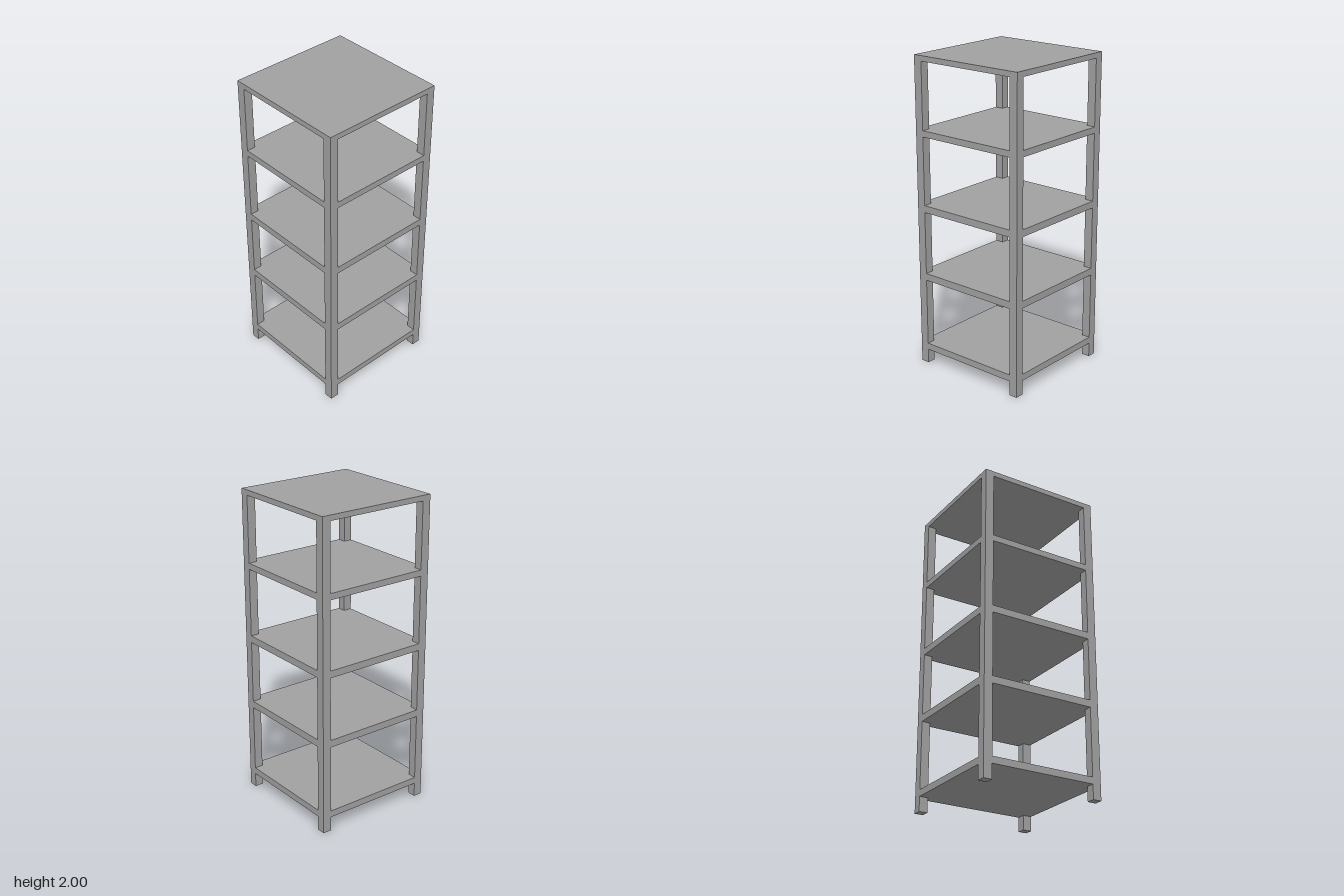
import * as THREE from 'three';

const HALF = 0.397;   // half width and depth
const LEG = 0.056;    // post thickness
const HEIGHT = 2;
const TOP = 0.034;    // top board thickness

export function createModel() {
  const group = new THREE.Group();
  const material = new THREE.MeshStandardMaterial({ color: 0xa0a0a0 });
  const add = (name, geometry, x, y, z) => {
    const mesh = new THREE.Mesh(geometry, material);
    mesh.name = name;
    mesh.position.set(x, y, z);
    group.add(mesh);
  };

  // Top board, resting on the four posts
  add('topBoard', new THREE.BoxGeometry(HALF * 2, TOP, HALF * 2), 0, HEIGHT - TOP / 2, 0);

  // Corner posts
  const postHeight = HEIGHT - TOP;
  const c = HALF - LEG / 2;
  for (const [side, sx] of [['left', 1], ['right', -1]]) {
    for (const [end, sz] of [['Front', 1], ['Back', -1]]) {
      add(`${side}${end}Post`, new THREE.BoxGeometry(LEG, postHeight, LEG), sx * c, postHeight / 2, sz * c);
    }
  }

  // Shelves flush with the posts, notched at the corners to fit around them
  const a = HALF, b = HALF - LEG;
  const outline = new THREE.Shape([
    [b, -a], [b, -b], [a, -b], [a, b], [b, b], [b, a],
    [-b, a], [-b, b], [-a, b], [-a, -b], [-b, -b], [-b, -a],
  ].map(([x, y]) => new THREE.Vector2(x, y)));
  const shelves = [[0.093, 0.136], [0.572, 0.618], [1.023, 1.068], [1.504, 1.544]];
  shelves.forEach(([bottom, top], i) => {
    const geometry = new THREE.ExtrudeGeometry(outline, { depth: top - bottom, bevelEnabled: false });
    geometry.rotateX(-Math.PI / 2);
    add(`shelf${i + 1}`, geometry, 0, bottom, 0);
  });

  return group;
}
